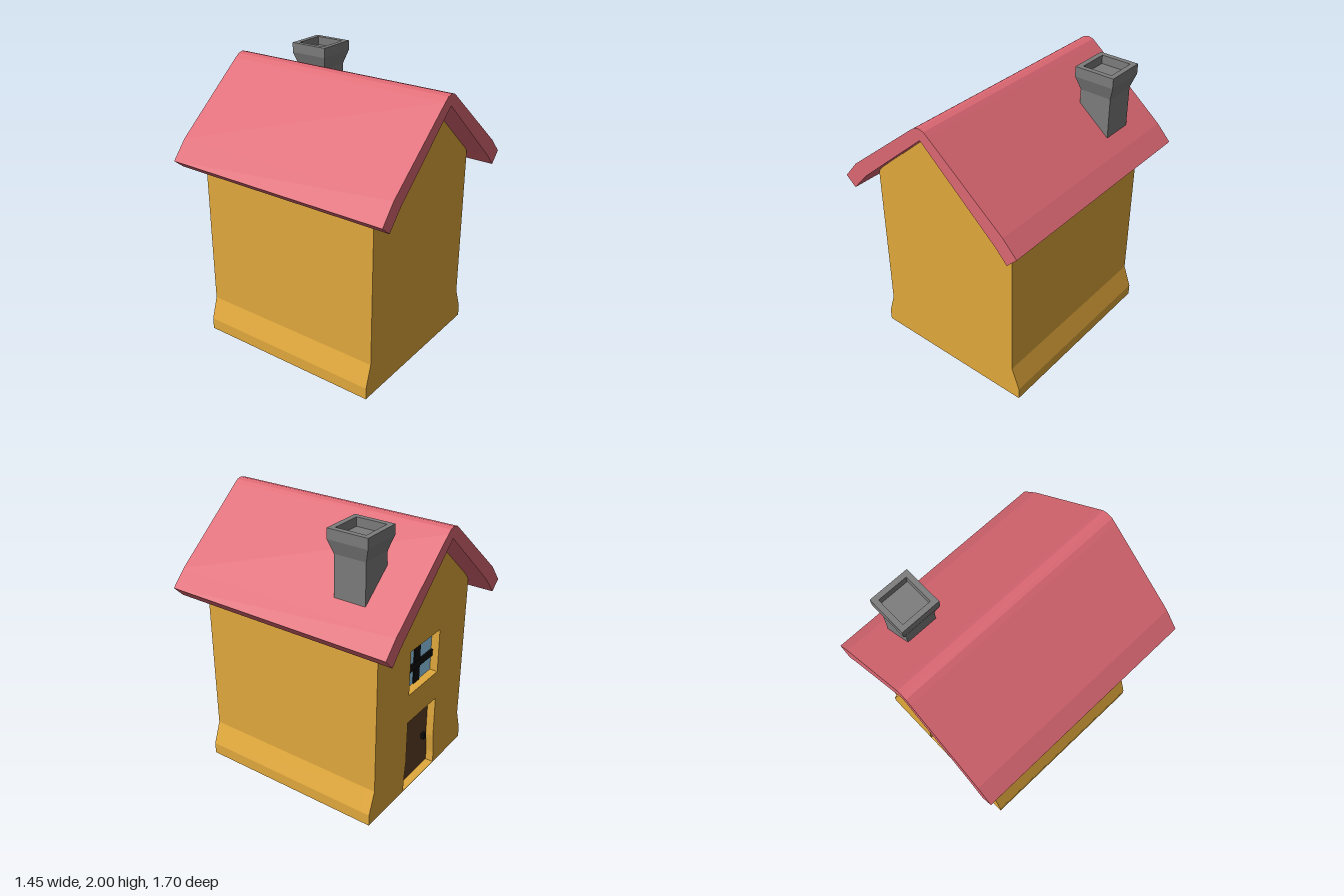
import * as THREE from 'three';

const mat = (color) => new THREE.MeshStandardMaterial({ color, flatShading: true });
const toVecs = (pts) => pts.map(([x, y]) => new THREE.Vector2(x, y));

export function createModel() {
  const house = new THREE.Group();
  house.name = 'house';
  const ochre = mat(0xe2a93c), rose = mat(0xdd6873), grey = mat(0x7c7c7c);
  const brown = mat(0x5f4028), blue = mat(0x98d4f5), black = mat(0x0c0c0c);

  const add = (name, geometry, material) => {
    const mesh = new THREE.Mesh(geometry, material);
    mesh.name = name;
    house.add(mesh);
    return mesh;
  };
  // Extrudes an outline in xy between two z positions
  const slab = (name, outline, z0, z1, material, holes = []) => {
    const shape = new THREE.Shape(toVecs(outline));
    for (const h of holes) shape.holes.push(new THREE.Path(toVecs(h)));
    const geo = new THREE.ExtrudeGeometry(shape, { depth: z1 - z0, bevelEnabled: false });
    return add(name, geo.translate(0, 0, z0), material);
  };
  const box = (name, x0, x1, y0, y1, z0, z1, material) =>
    add(name, new THREE.BoxGeometry(x1 - x0, y1 - y0, z1 - z0)
      .translate((x0 + x1) / 2, (y0 + y1) / 2, (z0 + z1) / 2), material);

  // Walls: flared foot and pointed gable; the back layer has the openings
  const wall = [
    [-0.63, 0], [0.62, 0], [0.62, 0.085], [0.56, 0.245], [0.56, 1.4],
    [0, 1.89], [-0.53, 1.43], [-0.58, 1.38], [-0.58, 0.245], [-0.63, 0.085],
  ];
  const doorway = [
    [-0.23, 0.003], [0.185, 0.003], [0.185, 0.085], [0.166, 0.245],
    [0.166, 0.57], [-0.21, 0.57], [-0.21, 0.245], [-0.23, 0.085],
  ];
  const opening = [[-0.21, 0.79], [0.166, 0.79], [0.166, 1.12], [-0.21, 1.12]];
  const back = -0.693, inner = -0.63;
  slab('walls', wall, inner, 0.693, ochre);
  slab('backWall', wall, back, inner, ochre, [doorway, opening]);

  // Door with knob
  slab('door', doorway, inner - 0.004, inner + 0.01, brown);
  box('doorKnob', -0.168, -0.134, 0.243, 0.287, inner - 0.03, inner, black);

  // Window pane with crossed bars
  slab('windowPane', opening, inner - 0.004, inner + 0.01, blue);
  box('windowBarUpright', -0.05, 0.025, 0.79, 1.12, inner - 0.012, inner, black);
  box('windowBarCross', -0.21, 0.166, 0.905, 0.955, inner - 0.018, inner, black);

  // Roof: bent sheet with a rounded ridge and kicked eaves
  slab('roof', [
    [0.65, 1.285], [0.724, 1.363], [0.62, 1.472], [0.065, 1.925], [0.035, 1.948],
    [0, 1.957], [-0.04, 1.948], [-0.075, 1.922], [-0.617, 1.476], [-0.727, 1.345],
    [-0.65, 1.28], [-0.53, 1.415], [0, 1.88], [0.563, 1.378],
  ], -0.85, 0.85, rose);

  // Chimney: square profile, flared cap and a shallow flue
  const profile = [
    [0, 1.45], [0.115, 1.45], [0.115, 1.835], [0.145, 1.93],
    [0.145, 2], [0.108, 2], [0.108, 1.94], [0, 1.94],
  ].map(([r, y]) => [r * Math.SQRT2, y]);
  const stack = new THREE.LatheGeometry(toVecs(profile), 4).rotateY(Math.PI / 4).toNonIndexed();
  stack.computeVertexNormals();
  add('chimney', stack.translate(0.41, 0, -0.458), grey);

  return house;
}
